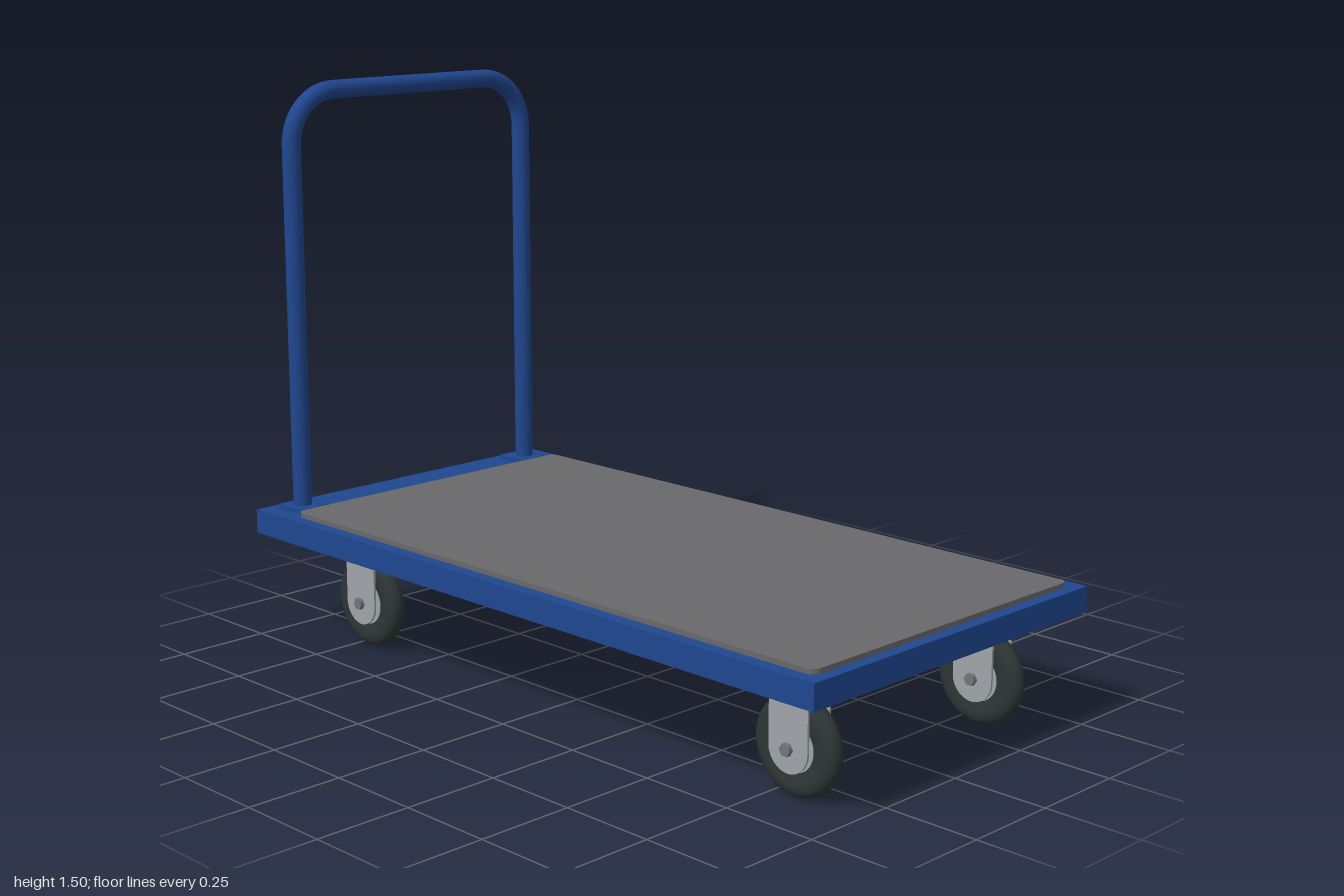
import * as THREE from 'three';

const mat = (name, color) => {
  const m = new THREE.MeshStandardMaterial({ color });
  m.name = name;
  return m;
};

export function createModel() {
  const blue = mat('blue paint', 0x20468f);
  const matGrey = mat('mat grey', 0x69696b);
  const rubber = mat('dark rubber', 0x2d3534);
  const steel = mat('light steel', 0xa0a5a9);
  const darkSteel = mat('dark steel', 0x73777a);

  const model = new THREE.Group();
  model.name = 'platformTrolley';

  const add = (parent, name, geometry, material, x = 0, y = 0, z = 0) => {
    const mesh = new THREE.Mesh(geometry, material);
    mesh.name = name;
    mesh.position.set(x, y, z);
    parent.add(mesh);
    return mesh;
  };
  const box = (w, h, d) => new THREE.BoxGeometry(w, h, d);

  // Deck sheet with a skirt all round, open underneath
  const deck = new THREE.Group();
  deck.name = 'deck';
  model.add(deck);
  add(deck, 'deckSheet', box(1, 0.015, 2), blue, 0, 0.3445, 0);
  for (const s of [-1, 1]) {
    add(deck, 'sideSkirt', box(0.025, 0.05, 2), blue, s * 0.4875, 0.312, 0);
    add(deck, 'endSkirt', box(0.95, 0.05, 0.025), blue, 0, 0.312, s * 0.9875);
    add(deck, 'longBeam', box(0.04, 0.05, 1.84), blue, s * 0.335, 0.312, 0);
  }
  for (const z of [-0.8, 0, 0.6]) add(deck, 'crossBeam', box(0.63, 0.05, 0.04), blue, 0, 0.312, z);

  // Anti-slip mat with rounded corners
  const w = 0.465, l = 0.917, r = 0.025;
  const s = new THREE.Shape();
  s.moveTo(-w + r, -l);
  s.lineTo(w - r, -l);
  s.absarc(w - r, -l + r, r, -Math.PI / 2, 0);
  s.absarc(w - r, l - r, r, 0, Math.PI / 2);
  s.absarc(-w + r, l - r, r, Math.PI / 2, Math.PI);
  s.absarc(-w + r, -l + r, r, Math.PI, Math.PI * 1.5);
  const matGeo = new THREE.ExtrudeGeometry(s, { depth: 0.013, bevelEnabled: false, curveSegments: 8 });
  matGeo.rotateX(-Math.PI / 2);
  add(model, 'deckMat', matGeo, matGrey, 0, 0.352, 0.052);

  // Bent tube push handle
  const hx = 0.403, top = 1.476, bend = 0.14, k = bend * 0.448;
  const v = (x, y) => new THREE.Vector3(x, y, 0);
  const path = new THREE.CurvePath();
  path.add(new THREE.LineCurve3(v(-hx, 0.35), v(-hx, top - bend)));
  path.add(new THREE.CubicBezierCurve3(v(-hx, top - bend), v(-hx, top - k), v(-hx + k, top), v(-hx + bend, top)));
  path.add(new THREE.LineCurve3(v(-hx + bend, top), v(hx - bend, top)));
  path.add(new THREE.CubicBezierCurve3(v(hx - bend, top), v(hx - k, top), v(hx, top - k), v(hx, top - bend)));
  path.add(new THREE.LineCurve3(v(hx, top - bend), v(hx, 0.35)));
  add(model, 'pushHandle', new THREE.TubeGeometry(path, 160, 0.025, 20), blue, 0, 0, -0.922);
  for (const side of [-1, 1])
    add(model, 'handleFootPlate', box(0.098, 0.012, 0.098), blue, side * 0.4, 0.358, -0.92);

  // Shared caster geometries
  const tyreProfile = [
    [0.058, -0.019], [0.072, -0.022], [0.09, -0.026], [0.106, -0.024], [0.116, -0.017], [0.121, -0.008],
    [0.122, 0], [0.121, 0.008], [0.116, 0.017], [0.106, 0.024], [0.09, 0.026], [0.072, 0.022], [0.058, 0.019],
  ].map(([x, y]) => new THREE.Vector2(x, y));
  const tyreGeo = new THREE.LatheGeometry(tyreProfile, 40).rotateZ(Math.PI / 2);
  const xCylinder = (radius, length, n = 28) =>
    new THREE.CylinderGeometry(radius, radius, length, n).rotateZ(Math.PI / 2);

  // Fork cheek: straight sides with a round lower end
  const cheek = new THREE.Shape();
  cheek.moveTo(0.058, 0.136);
  cheek.lineTo(-0.058, 0.136);
  cheek.lineTo(-0.058, 0);
  cheek.absarc(0, 0, 0.058, Math.PI, Math.PI * 2);
  const cheekGeo = new THREE.ExtrudeGeometry(cheek, { depth: 0.006, bevelEnabled: false, curveSegments: 20 });
  cheekGeo.rotateY(Math.PI / 2).translate(-0.003, 0, 0);

  // Swivel casters, all trailing the same way
  for (const x of [-0.335, 0.335]) {
    for (const z of [-0.765, 0.767]) {
      const c = new THREE.Group();
      c.name = 'caster';
      c.position.set(x, 0, z);
      model.add(c);
      const wz = 0.05, wy = 0.122;
      add(c, 'mountingPlate', box(0.12, 0.009, 0.12), darkSteel, 0, 0.2825, 0);
      add(c, 'swivelBearing', new THREE.CylinderGeometry(0.022, 0.022, 0.02, 24), darkSteel, 0, 0.27, 0);
      add(c, 'forkTop', box(0.078, 0.007, 0.116), steel, 0, 0.2605, wz);
      for (const side of [-1, 1]) {
        add(c, 'forkCheek', cheekGeo, steel, side * 0.036, wy, wz);
        add(c, 'axleNut', xCylinder(0.016, 0.012, 6), darkSteel, side * 0.045, wy, wz);
      }
      add(c, 'axle', xCylinder(0.009, 0.08, 16), darkSteel, 0, wy, wz);
      add(c, 'wheelHub', xCylinder(0.06, 0.042), steel, 0, wy, wz);
      add(c, 'tyre', tyreGeo, rubber, 0, wy, wz);
    }
  }
  return model;
}
